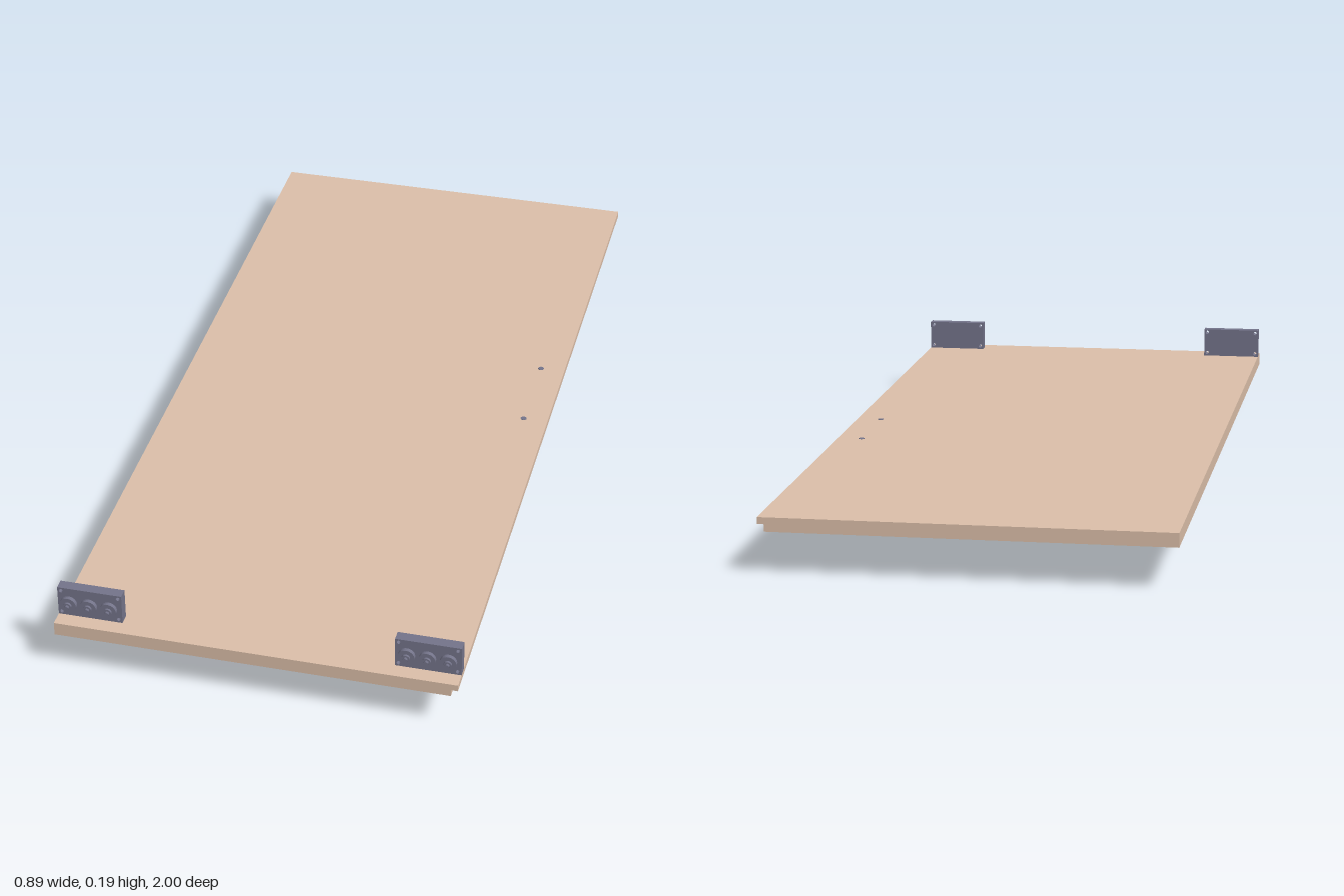
import * as THREE from 'three';

const wood = new THREE.MeshStandardMaterial({ color: 0xdcbfa9 });
const lining = new THREE.MeshStandardMaterial({ color: 0xb8b8b8 });
const iron = new THREE.MeshStandardMaterial({ color: 0x74748a });
const steel = new THREE.MeshStandardMaterial({ color: 0xa6afcd });

const BOTTOM = 0.092, MIDDLE = 0.108, TOP = 0.123;
const HANDLE_X = 0.388, HANDLE_Z = [0, -0.219];

function mesh(name, geometry, material, parent) {
  const m = new THREE.Mesh(geometry, material);
  m.name = name;
  parent.add(m);
  return m;
}

// Rectangle outline with optional rounded corners
function rect(path, x0, y0, x1, y1, r = 0) {
  if (r === 0) {
    path.moveTo(x0, y0).lineTo(x1, y0).lineTo(x1, y1).lineTo(x0, y1);
  } else {
    path.absarc(x1 - r, y0 + r, r, -Math.PI / 2, 0);
    path.absarc(x1 - r, y1 - r, r, 0, Math.PI / 2);
    path.absarc(x0 + r, y1 - r, r, Math.PI / 2, Math.PI);
    path.absarc(x0 + r, y0 + r, r, Math.PI, Math.PI * 1.5);
  }
  path.closePath();
  return path;
}

// Flat layer lying in the xz plane between two heights
function layer(name, shape, y0, y1, material, parent) {
  const g = new THREE.ExtrudeGeometry(shape, { depth: y1 - y0, bevelEnabled: false, curveSegments: 10 });
  g.rotateX(-Math.PI / 2);
  g.translate(0, y0, 0);
  return mesh(name, g, material, parent);
}

// Hanger: drilled plate with three stepped rollers
function createHanger() {
  const hanger = new THREE.Group();
  const w = 0.072, h = 0.071, hole = 0.0045;
  const plate = rect(new THREE.Shape(), -w, 0, w, h);
  for (const x of [-w + 0.008, w - 0.008])
    for (const y of [0.008, h - 0.008])
      plate.holes.push(new THREE.Path().absarc(x, y, hole, 0, Math.PI * 2, true));
  mesh('hangerPlate', new THREE.ExtrudeGeometry(plate, { depth: 0.024, bevelEnabled: false }), iron, hanger);

  const profile = [
    [0.009, 0], [0.009, 0.006], [0.0185, 0.006], [0.0185, 0.015],
    [0.009, 0.015], [0.009, 0.02], [0, 0.02],
  ].map(([r, y]) => new THREE.Vector2(r, y));
  for (const x of [-0.045, 0, 0.045]) {
    const roller = new THREE.Group();
    roller.name = 'roller';
    const body = new THREE.LatheGeometry(profile, 28).toNonIndexed();
    body.computeVertexNormals();
    mesh('rollerBody', body, iron, roller);
    mesh('rollerNut', new THREE.CylinderGeometry(0.0055, 0.0055, 0.006, 6), iron, roller).position.y = 0.023;
    roller.rotation.x = Math.PI / 2;
    roller.position.set(x, 0.037, 0.024);
    hanger.add(roller);
  }
  return hanger;
}

export function createModel() {
  const model = new THREE.Group();
  model.name = 'slidingDoor';

  // Door leaf: full upper board, rebated lower board with a rounded recess
  layer('upperBoard', rect(new THREE.Shape(), -0.445, -1, 0.445, 1), MIDDLE, TOP, wood, model);
  const lower = rect(new THREE.Shape(), -0.445, -1, 0.43, 1);
  lower.holes.push(rect(new THREE.Path(), -0.33, -0.45, 0.33, 0.66, 0.045));
  layer('lowerBoard', lower, BOTTOM, MIDDLE, wood, model);
  layer('recessLining', rect(new THREE.Shape(), -0.33, -0.45, 0.33, 0.66, 0.045), MIDDLE - 0.001, MIDDLE, lining, model);

  // Pull handle: straight legs joined by rounded bends
  const [za, zb] = HANDLE_Z, r = 0.0125, bend = 0.025;
  const v = (y, z) => new THREE.Vector3(HANDLE_X, y, z);
  const path = new THREE.CurvePath();
  path.add(new THREE.LineCurve3(v(BOTTOM + 0.004, za), v(r + bend, za)));
  path.add(new THREE.QuadraticBezierCurve3(v(r + bend, za), v(r, za), v(r, za - bend)));
  path.add(new THREE.LineCurve3(v(r, za - bend), v(r, zb + bend)));
  path.add(new THREE.QuadraticBezierCurve3(v(r, zb + bend), v(r, zb), v(r + bend, zb)));
  path.add(new THREE.LineCurve3(v(r + bend, zb), v(BOTTOM + 0.004, zb)));
  mesh('pullHandle', new THREE.TubeGeometry(path, 96, r, 20), steel, model);

  // Handle bolts showing on the upper face
  for (const z of HANDLE_Z)
    mesh('handleBolt', new THREE.CylinderGeometry(0.007, 0.007, 0.002, 16), iron, model)
      .position.set(HANDLE_X, TOP, z);

  // Hangers at both corners of the front end
  for (const side of [-1, 1]) {
    const hanger = createHanger();
    hanger.name = side > 0 ? 'leftHanger' : 'rightHanger';
    hanger.position.set(side * 0.373, TOP, 0.941);
    model.add(hanger);
  }
  return model;
}
